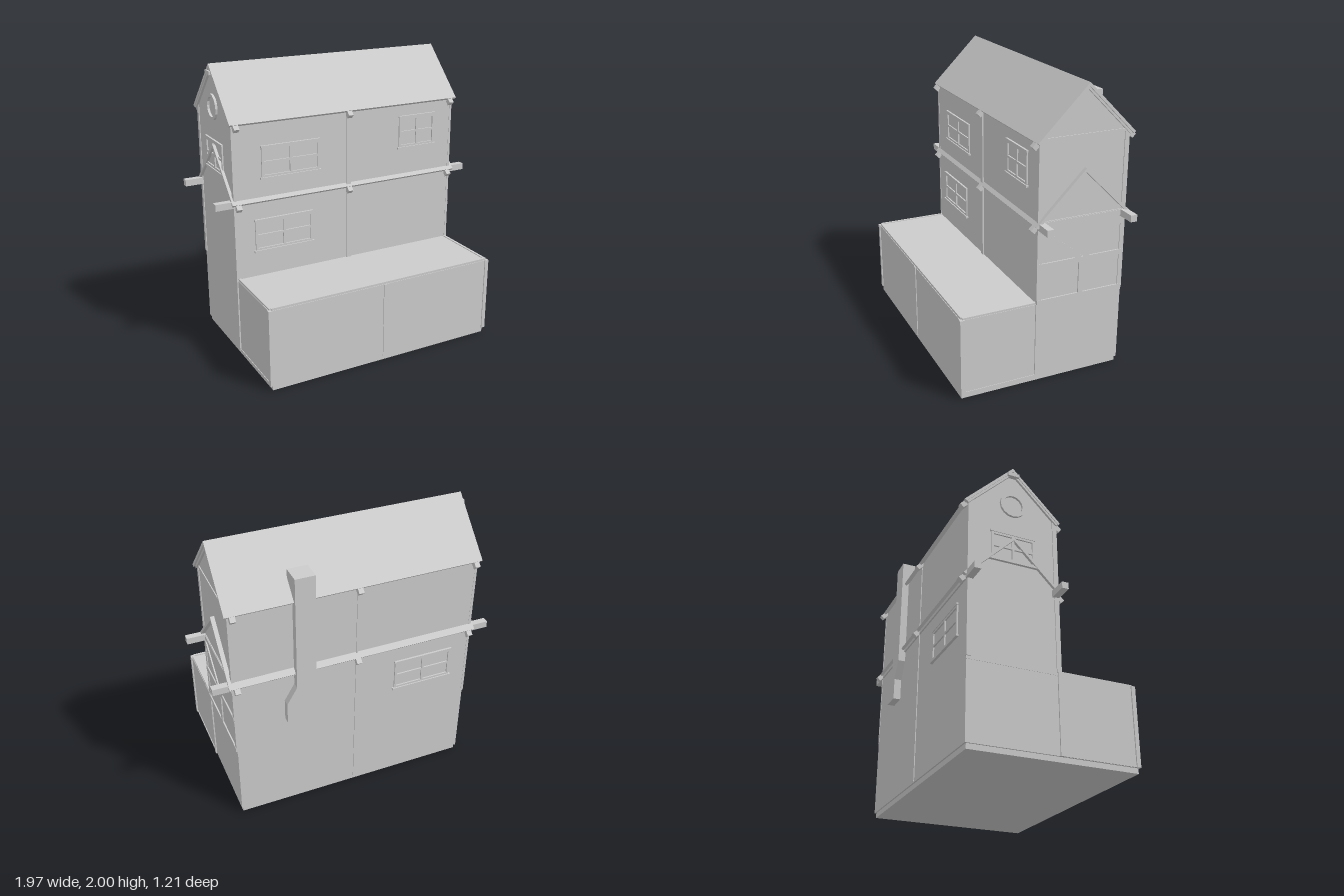
import * as THREE from 'three';

const mat = new THREE.MeshStandardMaterial({ color: 0xcccccc, flatShading: true });
const RIDGE_Z = -0.24, FRONT = 0.08, BACK = -0.55, SIDE = 0.852;

function add(parent, name, geometry) {
  const m = new THREE.Mesh(geometry, mat);
  m.name = name;
  parent.add(m);
  return m;
}

// box given by its limits
function box(parent, name, x0, x1, y0, y1, z0, z1) {
  const g = new THREE.BoxGeometry(x1 - x0, y1 - y0, z1 - z0);
  g.translate((x0 + x1) / 2, (y0 + y1) / 2, (z0 + z1) / 2);
  return add(parent, name, g);
}

// [z, y] profile extruded along x
function prism(parent, name, points, x0, x1) {
  const shape = new THREE.Shape(points.map(p => new THREE.Vector2(...p)));
  const g = new THREE.ExtrudeGeometry(shape, { depth: x1 - x0, bevelEnabled: false });
  g.rotateY(-Math.PI / 2).translate(x1, 0, 0);
  return add(parent, name, g);
}

// straight board of width w between two [z, y] points
function board(parent, name, a, b, w, x0, x1) {
  const dz = b[0] - a[0], dy = b[1] - a[1], l = Math.hypot(dz, dy);
  const nz = -dy / l * w / 2, ny = dz / l * w / 2;
  return prism(parent, name, [[a[0] - nz, a[1] - ny], [b[0] - nz, b[1] - ny],
    [b[0] + nz, b[1] + ny], [a[0] + nz, a[1] + ny]], x0, x1);
}

// 45 degree two-slope roof sheet
function chevron(parent, name, top, x0, x1) {
  const r = 0.342, t = 0.026;
  return prism(parent, name, [
    [RIDGE_Z, top], [RIDGE_Z - r, top - r], [RIDGE_Z - r + t / 2, top - r - t / 2],
    [RIDGE_Z, top - t], [RIDGE_Z + r - t / 2, top - r - t / 2], [RIDGE_Z + r, top - r],
  ], x0, x1);
}

// four-pane window facing +z, with sill and lintel
function windowFrame(parent, name, w, h, x, y, z, turn) {
  const g = new THREE.Group();
  g.name = name;
  const a = w / 2 - 0.012, b = h / 2 - 0.012, f = 0.016, d = 0.01;
  for (const s of [-1, 0, 1]) {
    const cx = s * (a - f / 2), cy = s * (b - f / 2);
    box(g, 'upright', cx - f / 2, cx + f / 2, -b, b, -0.01, d);
    box(g, 'rail', -a, a, cy - f / 2, cy + f / 2, -0.01, d);
  }
  box(g, 'sill', -w / 2, w / 2, -h / 2, -h / 2 + 0.014, -0.01, 0.018);
  box(g, 'lintel', -a - 0.005, a + 0.005, h / 2 - 0.013, h / 2, -0.01, 0.014);
  g.position.set(x, y, z);
  g.rotation.y = turn;
  parent.add(g);
}

export function createModel() {
  const house = new THREE.Group();
  house.name = 'house';

  // ground floor with plinth and the flat roof of the front extension
  box(house, 'plinth', -0.84, 0.84, 0, 0.04, -0.54, 0.6);
  box(house, 'groundFloor', -0.85, 0.85, 0.035, 0.57, BACK, 0.602);
  box(house, 'extensionRoof', -0.835, 0.835, 0.56, 0.578, 0.05, 0.59);
  box(house, 'roofLip', -0.835, 0.835, 0.56, 0.585, 0.58, 0.598);
  for (const s of [-1, 1]) {
    const x = s * 0.845;
    for (const z of [0.595, FRONT - 0.01])
      box(house, 'groundCornerPost', x - 0.014, x + 0.014, 0.035, 0.572, z - 0.014, z + 0.014);
    box(house, 'roofSideLip', s * 0.838 - 0.009, s * 0.838 + 0.009, 0.56, 0.583, 0.06, 0.59);
    box(house, 'groundRail', s * 0.849 - 0.005, s * 0.849 + 0.005, 0.036, 0.05, 0.08, 0.59);
  }
  box(house, 'groundCentrePost', -0.012, 0.012, 0.03, 0.57, 0.59, 0.608);

  // upper floors and gable ends
  prism(house, 'upperWalls', [[BACK, 0.55], [FRONT, 0.55], [FRONT, 1.66],
    [RIDGE_Z, 1.98], [BACK, 1.66]], -SIDE, SIDE);

  // main roof and the smaller lower roof between the floors
  chevron(house, 'mainRoof', 2, -0.872, 0.88);
  chevron(house, 'lowerRoof', 1.46, -0.872, 0.88);

  // long beams that stick out past the side walls
  for (const z of [[0.036, 0.082], [-0.56, -0.514]])
    box(house, 'longBeam', -0.985, 0.985, 1.092, 1.138, ...z);

  // rafter tails below both eaves
  for (const y of [1.64, 1.1])
    for (const x of [-0.83, 0, 0.83])
      for (const s of [-1, 1])
        board(house, 'rafterTail', [RIDGE_Z + s * 0.29, y + 0.04],
          [RIDGE_Z + s * 0.352, y - 0.022], 0.034, x - 0.018, x + 0.018);

  // centre posts and corner posts of the upper floors
  box(house, 'frontCentrePost', -0.018, 0.018, 0.578, 1.66, 0.06, 0.09);
  box(house, 'backCentrePost', -0.006, 0.006, 0.04, 1.66, -0.556, -0.53);
  for (const s of [-1, 1])
    for (const z of [[0.05, 0.082], [-0.552, -0.52]]) {
      const x = s * 0.849;
      box(house, 'upperCornerPost', x - 0.009, x + 0.009, 0.57, 1.67, ...z);
    }
  for (const y of [0.58, 1.135, 1.672])
    box(house, 'sideRail', 0.84, 0.858, y - 0.012, y + 0.006, BACK + 0.01, FRONT - 0.01);

  // timber framing on the left wall
  const X0 = 0.84, X1 = 0.861;
  box(house, 'frameSillBeam', X0, X1, 0.572, 0.6, BACK, FRONT);
  box(house, 'frameMiddleBeam', X0, X1, 0.82, 0.855, BACK, FRONT);
  box(house, 'frameTopBeam', X0, X1, 1.1, 1.135, BACK, FRONT);
  box(house, 'frameStud', X0, X1, 0.58, 0.84, -0.255, -0.22);
  for (const s of [-1, 1])
    board(house, 'diagonalBrace', [RIDGE_Z + s * 0.015, 0.85],
      [RIDGE_Z + s * 0.295, 1.08], 0.038, X0, X1);

  // gable rafters under the main roof
  for (const s of [-1, 1])
    for (const x of [-0.858, 0.858])
      board(house, 'gableRafter', [RIDGE_Z, 1.965], [RIDGE_Z + s * 0.32, 1.645],
        0.016, x - 0.01, x + 0.01);

  // windows
  windowFrame(house, 'frontUpperRightWindow', 0.45, 0.23, -0.44, 1.378, FRONT, 0);
  windowFrame(house, 'frontUpperLeftWindow', 0.32, 0.24, 0.557, 1.448, FRONT, 0);
  windowFrame(house, 'frontLowerWindow', 0.45, 0.235, -0.5, 0.87, FRONT, 0);
  windowFrame(house, 'backLowerWindow', 0.45, 0.235, -0.5, 0.87, BACK, Math.PI);
  windowFrame(house, 'rightWindow', 0.33, 0.22, -SIDE, 1.375, RIDGE_Z, -Math.PI / 2);

  // eight-sided gable window and the small block near the ridge
  const ring = new THREE.Shape().absarc(0, 0, 0.09, 0, Math.PI * 2);
  ring.holes.push(new THREE.Path().absarc(0, 0, 0.068, 0, Math.PI * 2, true));
  const ringGeo = new THREE.ExtrudeGeometry(ring, { depth: 0.03, bevelEnabled: false, curveSegments: 8 });
  ringGeo.rotateZ(Math.PI / 8).rotateY(-Math.PI / 2).translate(-0.838, 1.71, RIDGE_Z);
  add(house, 'gableWindow', ringGeo);
  box(house, 'ridgeBlock', -0.884, -0.85, 1.93, 1.955, RIDGE_Z - 0.04, RIDGE_Z + 0.04);

  // chimney: shaft with a sideways bend at the foot, and a deeper head
  const shaft = new THREE.Shape([[0.375, 0.75], [0.51, 0.75], [0.51, 0.9], [0.44, 1.02],
    [0.44, 1.7], [0.305, 1.7], [0.305, 1.02], [0.375, 0.9]].map(p => new THREE.Vector2(...p)));
  const shaftGeo = new THREE.ExtrudeGeometry(shaft, { depth: 0.06, bevelEnabled: false });
  add(house, 'chimneyShaft', shaftGeo.translate(0, 0, -0.6));
  prism(house, 'chimneyHead', [[-0.6, 1.64], [-0.54, 1.64], [-0.465, 1.72],
    [-0.465, 1.83], [-0.6, 1.83]], 0.305, 0.44);

  return house;
}
